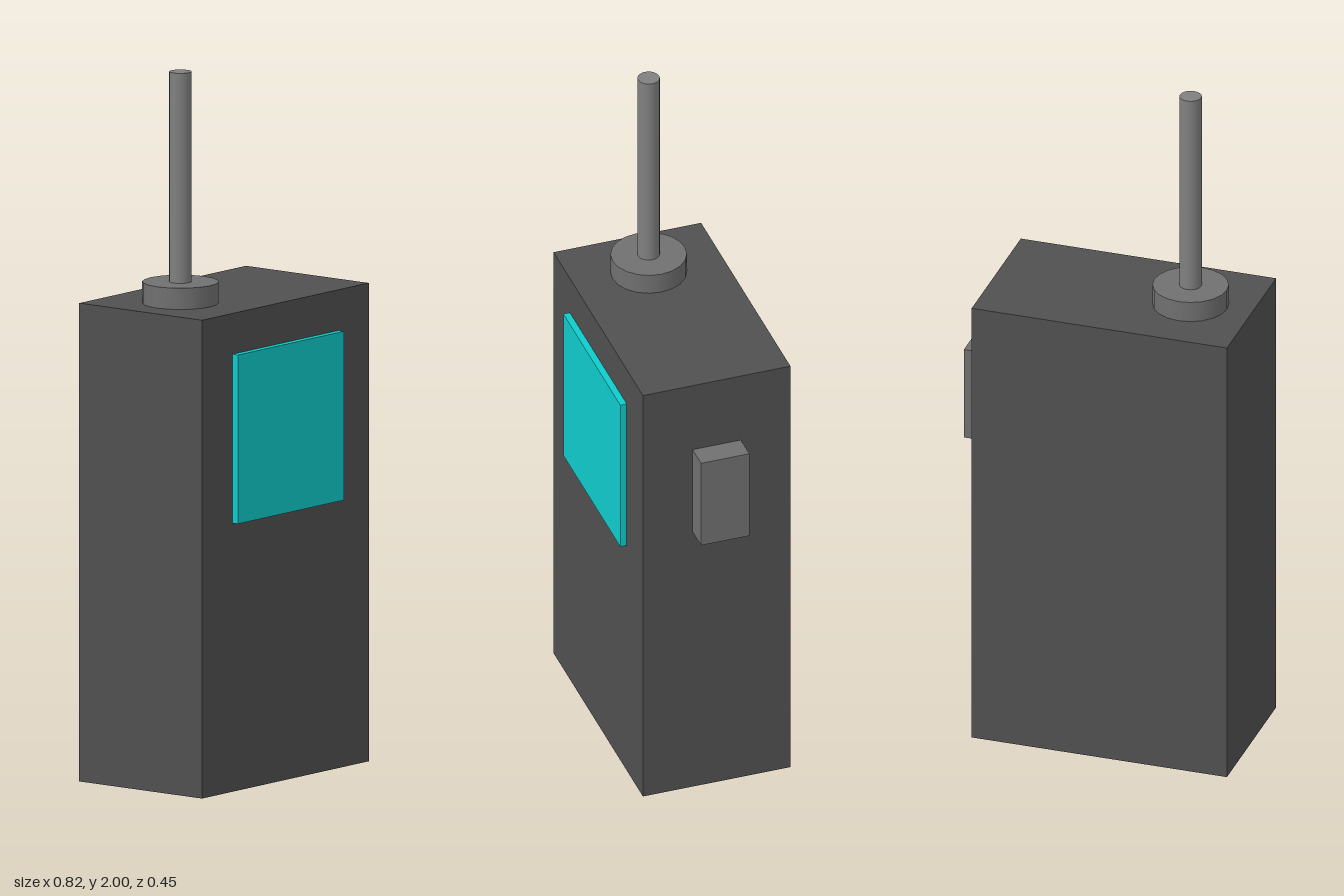
import * as THREE from 'three';

const material = (color) => new THREE.MeshStandardMaterial({ color });

// Box given by its extents along each axis
function block(name, [x0, x1], [y0, y1], [z0, z1], mat) {
  const mesh = new THREE.Mesh(new THREE.BoxGeometry(x1 - x0, y1 - y0, z1 - z0), mat);
  mesh.position.set((x0 + x1) / 2, (y0 + y1) / 2, (z0 + z1) / 2);
  mesh.name = name;
  return mesh;
}

// Upright cylinder given by its axis and its height range
function post(name, radius, [y0, y1], x, z, mat) {
  const mesh = new THREE.Mesh(new THREE.CylinderGeometry(radius, radius, y1 - y0, 20), mat);
  mesh.position.set(x, (y0 + y1) / 2, z);
  mesh.name = name;
  return mesh;
}

export function createModel() {
  const model = new THREE.Group();
  model.name = 'handheldRadio';
  const dark = material(0x505050);
  const grey = material(0x707070);
  const antennaGrey = material(0x808080);
  const cyan = material(0x10cccc);

  model.add(
    // Case with the raised screen and the side button
    block('case', [-0.409, 0.337], [0, 1.348], [-0.227, 0.207], dark),
    block('screen', [-0.273, 0.202], [0.757, 1.233], [0.197, 0.226], cyan),
    block('sideButton', [0.32, 0.408], [0.857, 1.133], [-0.081, 0.061], grey),
    // Antenna standing in its collar
    post('antennaCollar', 0.106, [1.34, 1.408], -0.231, -0.01, grey),
    post('antenna', 0.031, [1.38, 2], -0.231, -0.01, antennaGrey),
  );
  return model;
}
